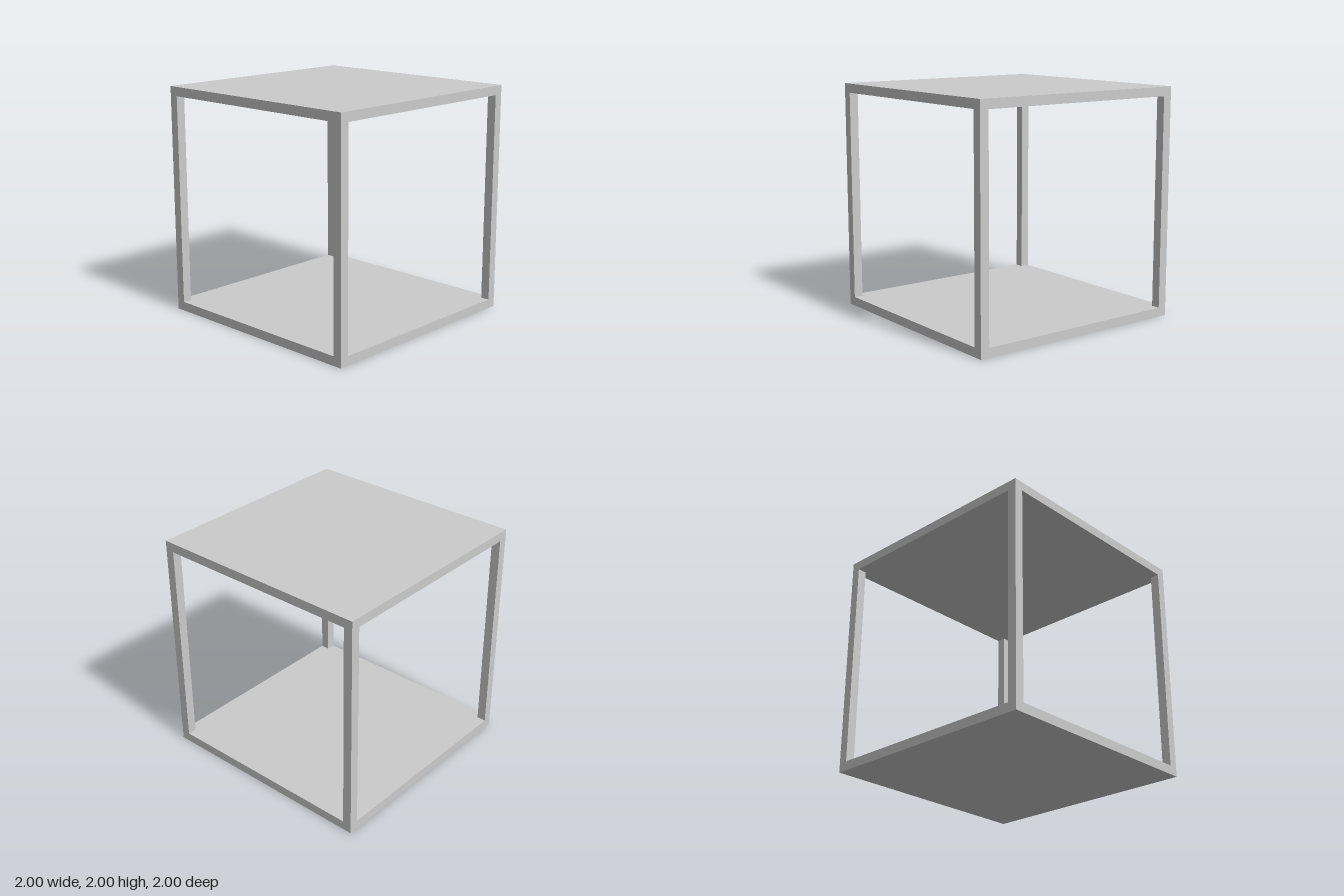
import * as THREE from 'three';

const SIZE = 2;
const T = 0.08; // thickness of panels and posts

export function createModel() {
  const group = new THREE.Group();
  group.name = 'openCubeFrame';
  const material = new THREE.MeshStandardMaterial({ color: 0xcccccc, flatShading: true });

  const addBox = (name, w, h, d, x, y, z) => {
    const mesh = new THREE.Mesh(new THREE.BoxGeometry(w, h, d), material);
    mesh.name = name;
    mesh.position.set(x, y, z);
    group.add(mesh);
  };

  // Solid floor and roof panels
  addBox('bottomPanel', SIZE, T, SIZE, 0, T / 2, 0);
  addBox('topPanel', SIZE, T, SIZE, 0, SIZE - T / 2, 0);

  // Four square corner posts, flush with the panel edges
  const offset = (SIZE - T) / 2;
  for (const [sideX, x] of [['Left', offset], ['Right', -offset]]) {
    for (const [sideZ, z] of [['front', offset], ['back', -offset]]) {
      addBox(`${sideZ}${sideX}Post`, T, SIZE - 2 * T, T, x, SIZE / 2, z);
    }
  }

  return group;
}
